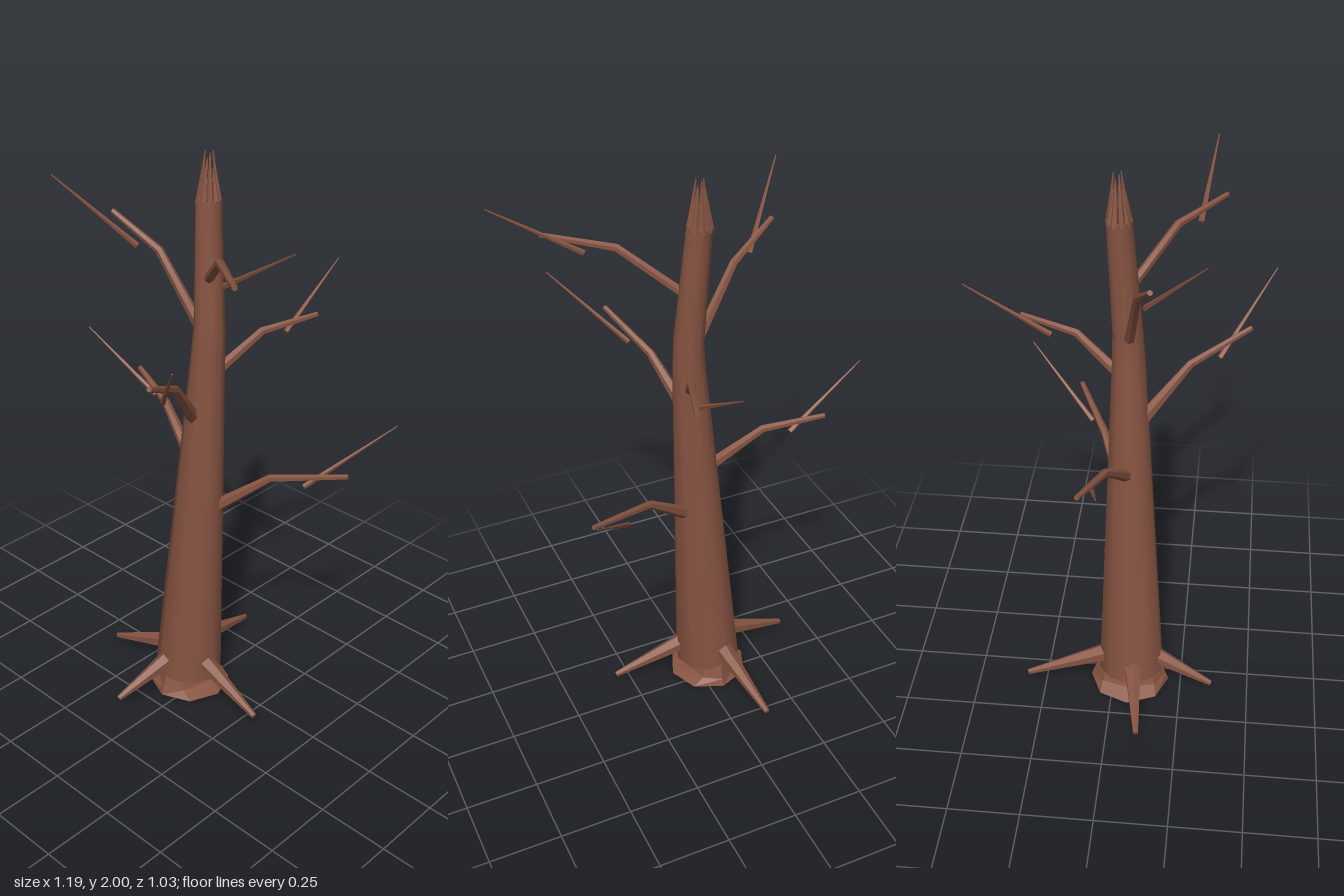
import * as THREE from 'three';
import { toCreasedNormals } from 'three/addons/utils/BufferGeometryUtils.js';

// Capped tapering limb: rings of the given radii along a bent path
function limbGeometry(path, radii, sides) {
  const pts = path.map(p => new THREE.Vector3(...p));
  const pos = [], idx = [];
  const side = new THREE.Vector3();
  pts.forEach((p, i) => {
    const before = pts[Math.max(i - 1, 0)], after = pts[Math.min(i + 1, pts.length - 1)];
    const dir = after.clone().sub(before).normalize();
    if (i === 0) side.set(Math.abs(dir.y) > 0.8 ? 1 : 0, Math.abs(dir.y) > 0.8 ? 0 : 1, 0);
    const u = side.clone().addScaledVector(dir, -side.dot(dir)).normalize();
    const v = dir.clone().cross(u);
    side.copy(u);
    for (let j = 0; j < sides; j++) {
      const a = (j / sides) * Math.PI * 2;
      const q = p.clone().addScaledVector(u, Math.cos(a) * radii[i]).addScaledVector(v, Math.sin(a) * radii[i]);
      pos.push(q.x, q.y, q.z);
    }
  });
  const last = (pts.length - 1) * sides, c0 = pts.length * sides;
  pos.push(...pts[0].toArray(), ...pts[pts.length - 1].toArray());
  for (let j = 0; j < sides; j++) {
    const k = (j + 1) % sides;
    for (let r = 0; r < last; r += sides) {
      idx.push(r + j, r + k, r + sides + j, r + k, r + sides + k, r + sides + j);
    }
    idx.push(c0, k, j, c0 + 1, last + j, last + k);
  }
  const g = new THREE.BufferGeometry();
  g.setAttribute('position', new THREE.Float32BufferAttribute(pos, 3));
  g.setIndex(idx);
  return toCreasedNormals(g, 0.9);
}

// Flared foot: waisted in x, wide in z
function footGeometry() {
  const rings = [[0, 0.145, 0.145], [0.025, 0.09, 0.135], [0.075, 0.07, 0.12]];
  const g = new THREE.CylinderGeometry(1, 1, 2, 8, 2);
  const p = g.attributes.position;
  for (let i = 0; i < p.count; i++) {
    const [y, rx, rz] = rings[Math.round(p.getY(i) + 1)];
    p.setXYZ(i, -0.05 + p.getX(i) * rx, y, 0.06 + p.getZ(i) * rz);
  }
  return toCreasedNormals(g, 0.4);
}

export function createModel() {
  const tree = new THREE.Group();
  tree.name = 'deadTree';
  const bark = new THREE.MeshStandardMaterial({ color: 0x875442 });
  bark.name = 'bark';

  const add = (name, geometry, parent = tree) => {
    const mesh = new THREE.Mesh(geometry, bark);
    mesh.name = name;
    parent.add(mesh);
  };

  // Trunk, bent near the top
  add('trunk', limbGeometry(
    [[-0.05, 0.07, 0.065], [0.028, 1.35, 0.04], [0.03, 1.45, 0.036], [0.002, 1.85, 0.01]],
    [0.12, 0.056, 0.051, 0.042], 10));
  add('foot', footGeometry());

  // Roots
  const roots = [
    [[-0.12, 0.14, 0.075], [-0.385, 0.045, 0.11]],
    [[0.02, 0.14, 0.075], [0.31, 0.045, 0.1]],
    [[-0.06, 0.14, 0.13], [-0.107, 0.045, 0.365]],
    [[-0.07, 0.14, -0.01], [-0.115, 0.045, -0.315]],
  ];
  roots.forEach(r => add('root', limbGeometry(r, [0.035, 0.01], 6)));

  // Branches: base, elbow and tip, base radius, then the twig's two ends
  const branches = [
    [[[0.035, 0.76, 0.03], [0.22, 0.915, -0.06], [0.46, 0.97, -0.17]], 0.024, [[0.32, 0.9, -0.115], [0.51, 1.105, -0.355]]],
    [[[-0.05, 0.93, 0.045], [-0.225, 1.065, -0.01], [-0.425, 1.105, -0.08]], 0.022, [[-0.31, 1.05, -0.045], [-0.6, 1.235, 0]]],
    [[[0.01, 1.125, 0.09], [0.08, 1.305, 0.24], [0.165, 1.405, 0.435]], 0.024, [[0.12, 1.31, 0.335], [0.34, 1.54, 0.51]]],
    [[[0.04, 1.28, 0.005], [0.1, 1.39, -0.14], [0.17, 1.41, -0.335]], 0.019, [[0.125, 1.365, -0.23], [0.11, 1.545, -0.515]]],
    [[[-0.01, 1.44, 0.045], [-0.15, 1.665, 0.08], [-0.31, 1.77, 0.13]], 0.019, [[-0.22, 1.67, 0.11], [-0.405, 1.905, 0.295]]],
    [[[0.04, 1.61, 0.05], [0.21, 1.745, 0.18], [0.41, 1.765, 0.33]], 0.016, [[0.295, 1.715, 0.25], [0.59, 1.9, 0.29]]],
  ];
  branches.forEach(([path, r, twig]) => {
    const branch = new THREE.Group();
    branch.name = 'branch';
    add('limb', limbGeometry(path, [r, 0.014, 0.009], 6), branch);
    add('twig', limbGeometry(twig, [0.01, 0.002], 5), branch);
    tree.add(branch);
  });

  // Broken top: splinters leaning inward from the rim
  const count = 9;
  for (let i = 0; i < count; i++) {
    const a = (i / count) * Math.PI * 2, c = Math.cos(a), s = Math.sin(a);
    const top = 1.95 + 0.025 * ((i * 2) % 3);
    add('splinter', limbGeometry(
      [[0.002 + c * 0.032, 1.835, 0.01 + s * 0.032], [0.002 + c * 0.014, top, 0.006 + s * 0.014]],
      [0.013, 0.002], 5));
  }
  return tree;
}
